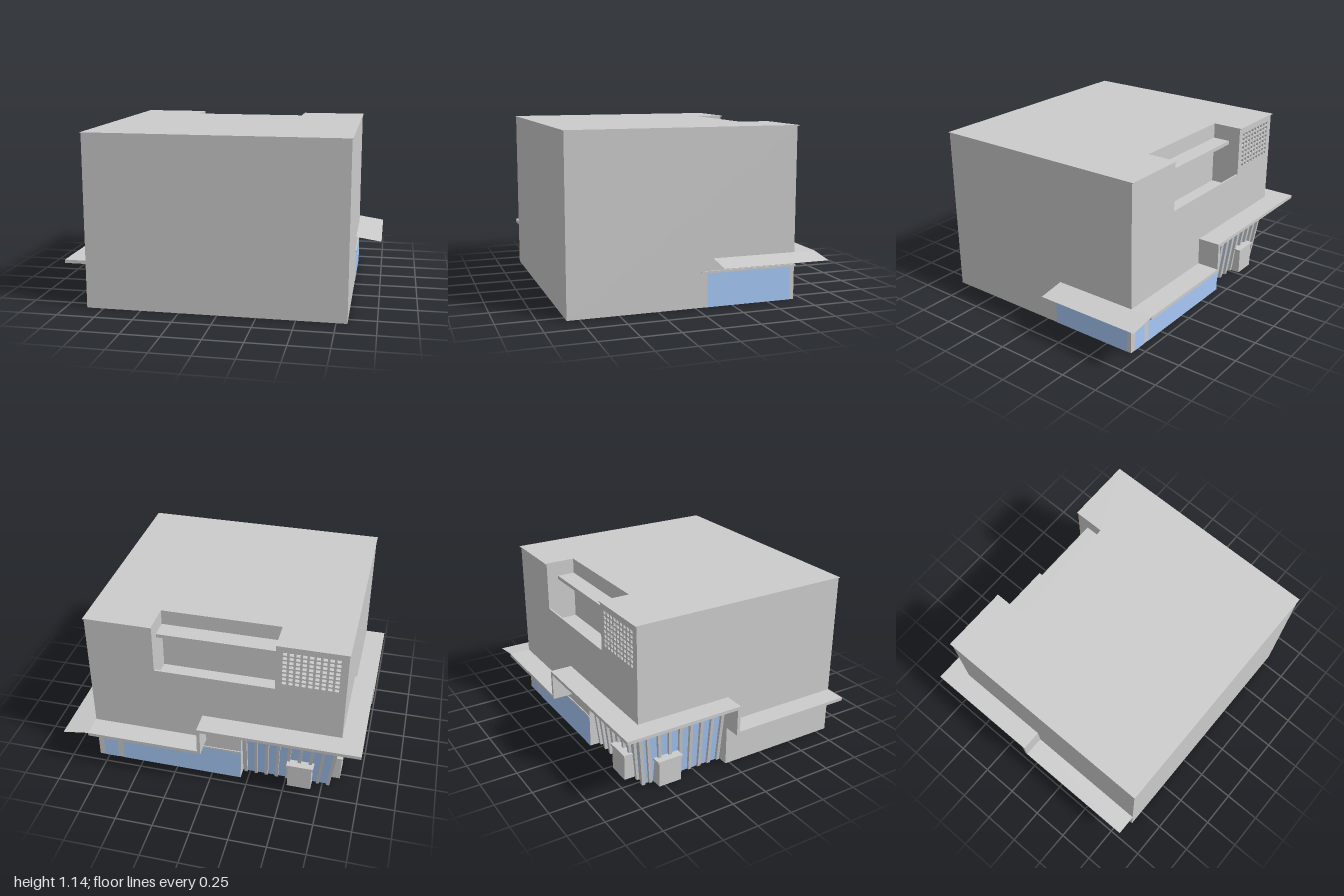
import * as THREE from 'three';

export function createModel() {
  const model = new THREE.Group();
  const grey = new THREE.MeshStandardMaterial({ color: 0xcccccc, side: THREE.DoubleSide });
  const blue = new THREE.MeshStandardMaterial({ color: 0xa6c8f7, side: THREE.DoubleSide });

  const add = (name, geo, mat = grey) => {
    const m = new THREE.Mesh(geo, mat);
    m.name = name;
    model.add(m);
    return m;
  };
  // Box from its minimum and maximum corners
  const box = (name, x0, x1, y0, y1, z0, z1, mat) =>
    add(name, new THREE.BoxGeometry(x1 - x0, y1 - y0, z1 - z0)
      .translate((x0 + x1) / 2, (y0 + y1) / 2, (z0 + z1) / 2), mat);
  // Flat four-cornered sheet
  const sheet = (name, corners, mat) => {
    const g = new THREE.BufferGeometry();
    g.setAttribute('position', new THREE.Float32BufferAttribute(corners.flat(), 3));
    g.setIndex([0, 1, 2, 0, 2, 3]);
    g.computeVertexNormals();
    return add(name, g, mat);
  };
  const outline = (pts, Type = THREE.Shape) => new Type(pts.map(p => new THREE.Vector2(...p)));
  const rect = (x0, x1, y0, y1, Type) => outline([[x0, y0], [x1, y0], [x1, y1], [x0, y1]], Type);
  // Bar with a vertical taper: its base is centred on a, its top on b
  const leaningBar = (name, a, b, w, d) => {
    const g = new THREE.BoxGeometry(w, 1, d);
    const p = g.attributes.position;
    for (let i = 0; i < p.count; i++) {
      const c = p.getY(i) > 0 ? b : a;
      p.setXYZ(i, p.getX(i) + c[0], c[1], p.getZ(i) + c[2]);
    }
    g.computeVertexNormals();
    return add(name, g);
  };

  // Main extents: walls, balcony notch, raised corner
  const R = -0.86, L = 0.82, F = 0.83, B = -0.69, H = 1.14;
  const n0 = -0.415, n1 = 0.375, nz = -0.49, rail = 0.81, deck = 0.72;
  const cx = -0.2, cz = -0.03, cy = 0.48, lean = 0.06;

  // Walls (open underneath)
  sheet('frontWall', [[R, 0, F], [L, 0, F], [L, H, F], [R, H, F]]);
  sheet('leftWall', [[L, 0, F], [L, 0, B], [L, H, B], [L, H, F]]);
  const side = outline([[-F, 0], [-cz, 0], [-cz, cy], [-B, cy], [-B, H], [-F, H]]);
  add('rightWall', new THREE.ShapeGeometry(side).rotateY(Math.PI / 2).translate(R, 0, 0));
  const back = outline([[L, 0], [L, H], [n1, H], [n1, rail], [n0, rail], [n0, H], [R, H],
    [R, cy], [cx, cy], [cx, 0]]);
  const vent = [-0.82, -0.45, 0.85, 1.1];
  back.holes.push(rect(...vent, THREE.Path));
  const backGeo = new THREE.ShapeGeometry(back);
  backGeo.index.array.reverse();
  backGeo.translate(0, 0, B);
  backGeo.computeVertexNormals();
  add('backWall', backGeo);

  // Ventilation grille with a closed back
  const grille = rect(...vent);
  const cols = 9, rows = 8;
  const sx = (vent[1] - vent[0]) / cols, sy = (vent[3] - vent[2]) / rows;
  for (let i = 0; i < cols; i++) for (let j = 0; j < rows; j++) {
    const x = vent[0] + (i + 0.5) * sx, y = vent[2] + (j + 0.5) * sy;
    grille.holes.push(rect(x - sx * 0.32, x + sx * 0.32, y - sy * 0.32, y + sy * 0.32, THREE.Path));
  }
  add('ventGrille', new THREE.ExtrudeGeometry(grille, { depth: 0.03, bevelEnabled: false })
    .translate(0, 0, B));
  box('ventBacking', vent[0], vent[1], vent[2], vent[3], B + 0.03, B + 0.035);

  // Thin roof slab, cut away over the balcony
  const roof = outline([[R - 0.005, -F - 0.005], [L + 0.005, -F - 0.005], [L + 0.005, -B + 0.01],
    [n1, -B + 0.01], [n1, -nz], [n0, -nz], [n0, -B + 0.01], [R - 0.005, -B + 0.01]]);
  add('roof', new THREE.ExtrudeGeometry(roof, { depth: 0.006, bevelEnabled: false })
    .rotateX(-Math.PI / 2).translate(0, H - 0.003, 0));

  // Recessed balcony
  sheet('balconyFloor', [[n0, deck, nz], [n1, deck, nz], [n1, deck, B], [n0, deck, B]]);
  sheet('balconyBack', [[n0, deck, nz], [n0, H, nz], [n1, H, nz], [n1, deck, nz]]);
  for (const x of [n0, n1])
    sheet('balconySide', [[x, deck, B], [x, deck, nz], [x, H, nz], [x, H, B]]);
  box('balconyParapet', n0, n1, deck, rail, B, B + 0.012);
  box('balconyAwning', n0, n1, 1.015, 1.04, -0.61, nz);

  // Stepped canopy round the back and right sides
  const E = -0.84, t = 0.022, low = 0.293, high = 0.476, sX = 0.06;
  box('lowBackCanopy', sX - t, L, low, low + t, E, B);
  box('highBackCanopy', -1, sX, high, high + t, E, B);
  box('highRightCanopy', -1, R, high, high + t, B, cz);
  box('lowRightCanopy', -1, R, low, low + t, cz - t, F);
  box('backCanopyRiser', sX - t, sX, low, high + t, E, B);
  box('rightCanopyRiser', -1, R, low, high + t, cz - t, cz);
  // Sloping thin sheet on the left side
  sheet('leftCanopy', [[L, 0.315, -0.12], [1, 0.288, -0.12], [1, 0.288, E], [L, 0.315, E]]);

  // Shop windows and the ledge above them
  const g = 0.002;
  for (const [a, b] of [[0.68, 0.78], [cx, 0.64]])
    sheet('backWindow', [[b, 0, B - g], [a, 0, B - g], [a, 0.22, B - g], [b, 0.22, B - g]], blue);
  sheet('leftWindow', [[L + g, 0, -0.08], [L + g, 0, -0.66], [L + g, 0.22, -0.66],
    [L + g, 0.22, -0.08]], blue);
  box('backLedge', cx, L + 0.007, 0.222, 0.236, B - 0.007, B);
  box('leftLedge', L, L + 0.007, 0.222, 0.236, B - 0.007, -0.04);

  // Glazed corner leaning inwards at its base
  const inT = 0.02, inB = lean + 0.02;
  sheet('cornerGlassBack', [[cx, 0, B + inB], [R + inB, 0, B + inB],
    [R + inT, cy, B + inT], [cx, cy, B + inT]], blue);
  sheet('cornerGlassRight', [[R + inB, 0, B + inB], [R + inB, 0, cz],
    [R + inT, cy, cz], [R + inT, cy, B + inT]], blue);
  sheet('cornerEndBack', [[cx, 0, B], [cx, 0, B + inB], [cx, cy, B + inT], [cx, cy, B]]);
  sheet('cornerEndRight', [[R, 0, cz], [R + inB, 0, cz], [R + inT, cy, cz], [R, cy, cz]]);
  sheet('cornerSoffit', [[R, cy, B], [cx, cy, B], [cx, cy, B + inT], [R, cy, B + inT]]);
  sheet('cornerSoffit', [[R, cy, B], [R + inT, cy, B], [R + inT, cy, cz], [R, cy, cz]]);

  // Leaning fins on both faces of the corner
  const fins = 9, w = 0.022, d = 0.024, lerp = THREE.MathUtils.lerp;
  for (let i = 0; i < fins; i++) {
    const k = i / (fins - 1);
    leaningBar('backFin', [lerp(cx - w, R + lean + w / 2, k), 0.005, B + lean + d / 2],
      [lerp(cx - w, R + w / 2, k), cy, B + d / 2], w, d);
    if (i < fins - 1)
      leaningBar('rightFin', [R + lean + d / 2, 0.005, lerp(cz - w, B + lean + w * 2, k * 1.1)],
        [R + d / 2, cy, lerp(cz - w, B + w * 2, k * 1.1)], d, w);
  }

  // Upright door boxes with small hoods
  box('backDoor', -0.68, -0.52, 0, 0.17, B, B + 0.09);
  box('backDoorHood', -0.69, -0.51, 0.17, 0.185, B - 0.006, B + 0.07);
  box('rightDoor', R, R + 0.09, 0, 0.17, -0.54, -0.38);
  box('rightDoorHood', R - 0.006, R + 0.07, 0.17, 0.185, -0.55, -0.37);

  return model;
}
